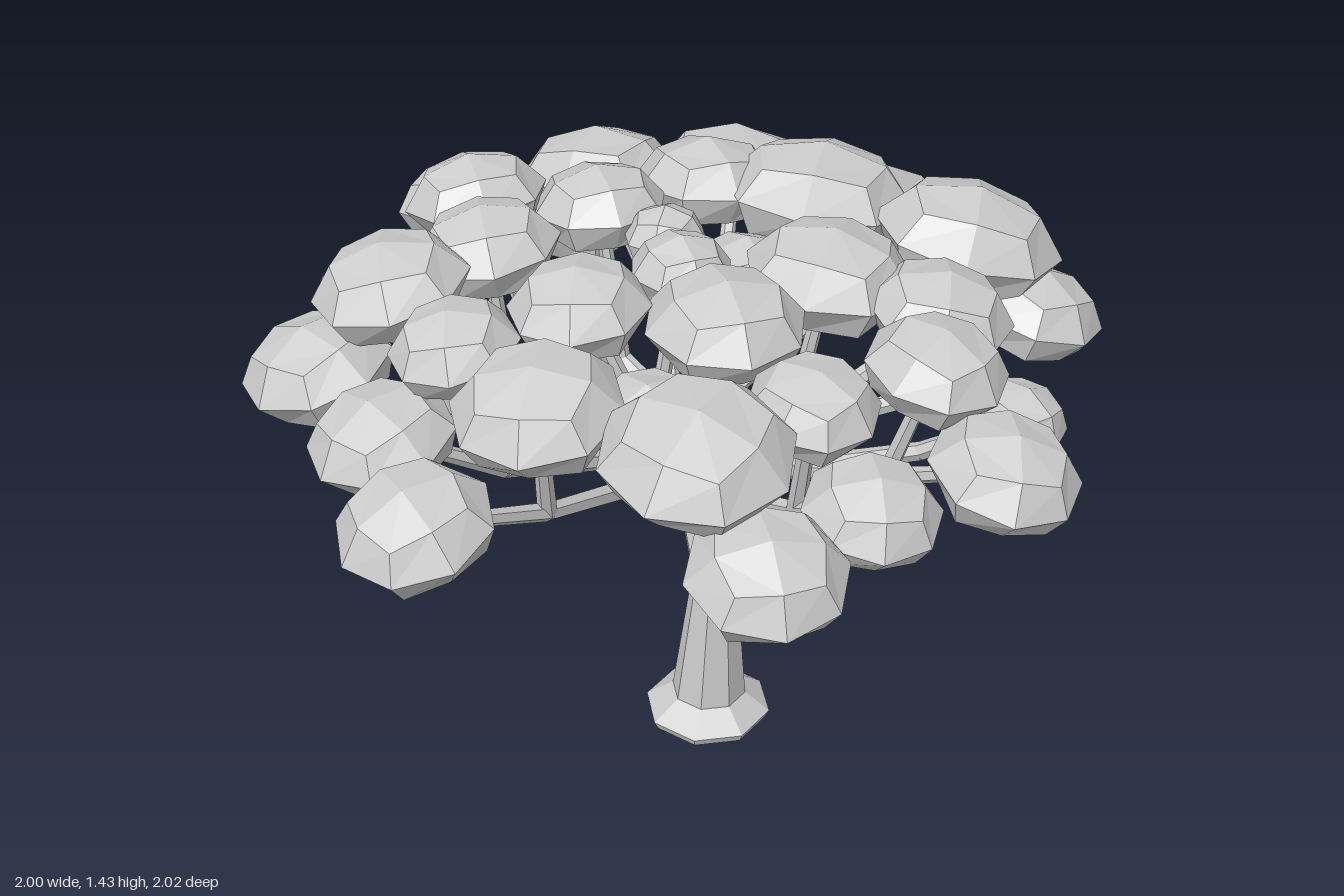
import * as THREE from 'three';

const grey = new THREE.MeshStandardMaterial({ color: 0xcccccc, flatShading: true });
grey.name = 'pale grey';

const CROWN = new THREE.Vector3(0.11, 0.69, -0.07);

// Each bough splits into two limbs, and each limb carries a clump in the
// low tier, the high tier or both: [x, z, radius]
const BOUGHS = [
  [{ low: [-0.84, 0.34, 0.165], high: [-0.54, 0.33, 0.18] },
    { low: [-0.26, 0.31, 0.135], high: [-0.26, 0.02, 0.155] }],
  [{ low: [-0.76, 0.03, 0.16], high: [-0.57, 0.02, 0.14] },
    { low: [-0.75, -0.31, 0.17], high: [-0.57, -0.28, 0.175] }],
  [{ low: [-0.48, -0.55, 0.15], high: [-0.3, -0.33, 0.165] },
    { low: [-0.09, -0.84, 0.165], high: [-0.19, -0.59, 0.165] }],
  [{ low: [0.08, -0.56, 0.13], high: [0.04, -0.4, 0.155] },
    { low: [0.27, -0.8, 0.2], high: [0.35, -0.41, 0.17] }],
  [{ low: [0.6, -0.67, 0.2] },
    { low: [0.76, -0.3, 0.215], high: [0.54, -0.21, 0.225] }],
  [{ low: [0.85, 0.05, 0.13], high: [0.74, 0.12, 0.22] },
    { low: [0.83, 0.27, 0.165], high: [0.46, 0.38, 0.165] }],
  [{ low: [0.49, 0.64, 0.11] },
    { low: [0.32, 0.81, 0.165], high: [0.31, 0.57, 0.155] }],
  [{ low: [-0.02, 0.8, 0.145], high: [-0.02, 0.58, 0.14] },
    { low: [-0.32, 0.86, 0.165], high: [-0.34, 0.63, 0.2] }],
  [{ high: [-0.02, 0.24, 0.175] },
    { low: [-0.15, -0.15, 0.14], high: [0.03, -0.02, 0.115] }],
  [{ high: [0.32, 0.15, 0.19] },
    { low: [0.27, -0.12, 0.13], high: [0.1, -0.2, 0.095] }],
];

// Underside heights: both tiers droop towards the rim and sink towards +x
const UNDERSIDE = {
  low: (x, z) => 1.16 - 0.1 * Math.hypot(x, z) - 0.06 * Math.max(x, 0),
  high: (x, z) => 1.25 - 0.06 * Math.hypot(x, z) - 0.06 * x,
};

// Domed clump: a rounded 2x2x2 cube with a flattened underside
function clumpGeometry() {
  const g = new THREE.BoxGeometry(2, 2, 2, 2, 2, 2);
  const p = g.attributes.position;
  const v = new THREE.Vector3();
  for (let i = 0; i < p.count; i++) {
    v.fromBufferAttribute(p, i).normalize();
    if (v.y < -0.1) {
      v.y = -0.4;
    } else if (v.y > 0.1) {
      v.x *= 0.92;
      v.z *= 0.92;
      v.y *= 0.6;
    }
    p.setXYZ(i, v.x, v.y, v.z);
  }
  return g;
}

// Tapered stick between two points
function stick(name, a, b, r0, r1) {
  const dir = b.clone().sub(a);
  const mesh = new THREE.Mesh(new THREE.CylinderGeometry(r1, r0, dir.length(), 6), grey);
  mesh.position.copy(a).add(b).multiplyScalar(0.5);
  mesh.quaternion.setFromUnitVectors(new THREE.Vector3(0, 1, 0), dir.normalize());
  mesh.name = name;
  return mesh;
}

// Eight-sided trunk: flared foot, then a bend towards the back
function makeTrunk() {
  const rings = [ // y, x, z, radius
    [0, 0.1, 0, 0.15], [0.022, 0.1, 0, 0.16], [0.075, 0.1, 0.005, 0.094],
    [0.44, 0.1, 0.025, 0.056], [0.66, 0.11, -0.06, 0.062], [0.71, 0.11, -0.075, 0.058],
  ];
  const n = rings.length - 1;
  const g = new THREE.CylinderGeometry(1, 1, n, 8, n);
  const p = g.attributes.position;
  for (let i = 0; i < p.count; i++) {
    const [y, x, z, r] = rings[Math.round(p.getY(i) + n / 2)];
    p.setXYZ(i, x + p.getX(i) * r, y, z + p.getZ(i) * r);
  }
  const mesh = new THREE.Mesh(g, grey);
  mesh.name = 'trunk';
  return mesh;
}

// A limb forks part of the way to the middle of its clumps
function forkPoint(limb) {
  const clumps = Object.values(limb);
  const fork = new THREE.Vector3();
  for (const [x, z] of clumps) fork.add(new THREE.Vector3(x, 0, z));
  fork.divideScalar(clumps.length).lerp(CROWN, 0.28);
  fork.y = 0.8 + 0.25 * Math.hypot(fork.x - CROWN.x, fork.z - CROWN.z);
  return fork;
}

export function createModel() {
  const tree = new THREE.Group();
  tree.name = 'tree';
  const branches = new THREE.Group();
  branches.name = 'branches';
  const canopy = new THREE.Group();
  canopy.name = 'canopy';
  tree.add(makeTrunk(), branches, canopy);

  const clumpGeo = clumpGeometry();
  const up = new THREE.Vector3(0, 1, 0);

  for (const limbs of BOUGHS) {
    const forks = limbs.map(forkPoint);
    const elbow = forks[0].clone().lerp(forks[1], 0.5).lerp(CROWN, 0.55);
    branches.add(stick('bough', CROWN, elbow, 0.034, 0.026));

    limbs.forEach((limb, i) => {
      branches.add(stick('limb', elbow, forks[i], 0.026, 0.022));

      for (const [tier, [x, z, r]] of Object.entries(limb)) {
        const height = 0.07 + 0.65 * r;
        const centre = new THREE.Vector3(x, UNDERSIDE[tier](x, z) + height * 0.4, z);
        branches.add(stick('twig', forks[i], centre, 0.022, 0.016));

        // Clumps lean outwards, more so near the rim
        const clump = new THREE.Mesh(clumpGeo, grey);
        clump.name = 'leafClump';
        clump.position.copy(centre);
        const lean = new THREE.Vector3(x * 0.32, 1, z * 0.32).normalize();
        clump.quaternion.setFromUnitVectors(up, lean);
        clump.rotateY(canopy.children.length * 2.4);
        clump.scale.set(r * 1.05, height, r * 1.05);
        canopy.add(clump);
      }
    });
  }
  return tree;
}
